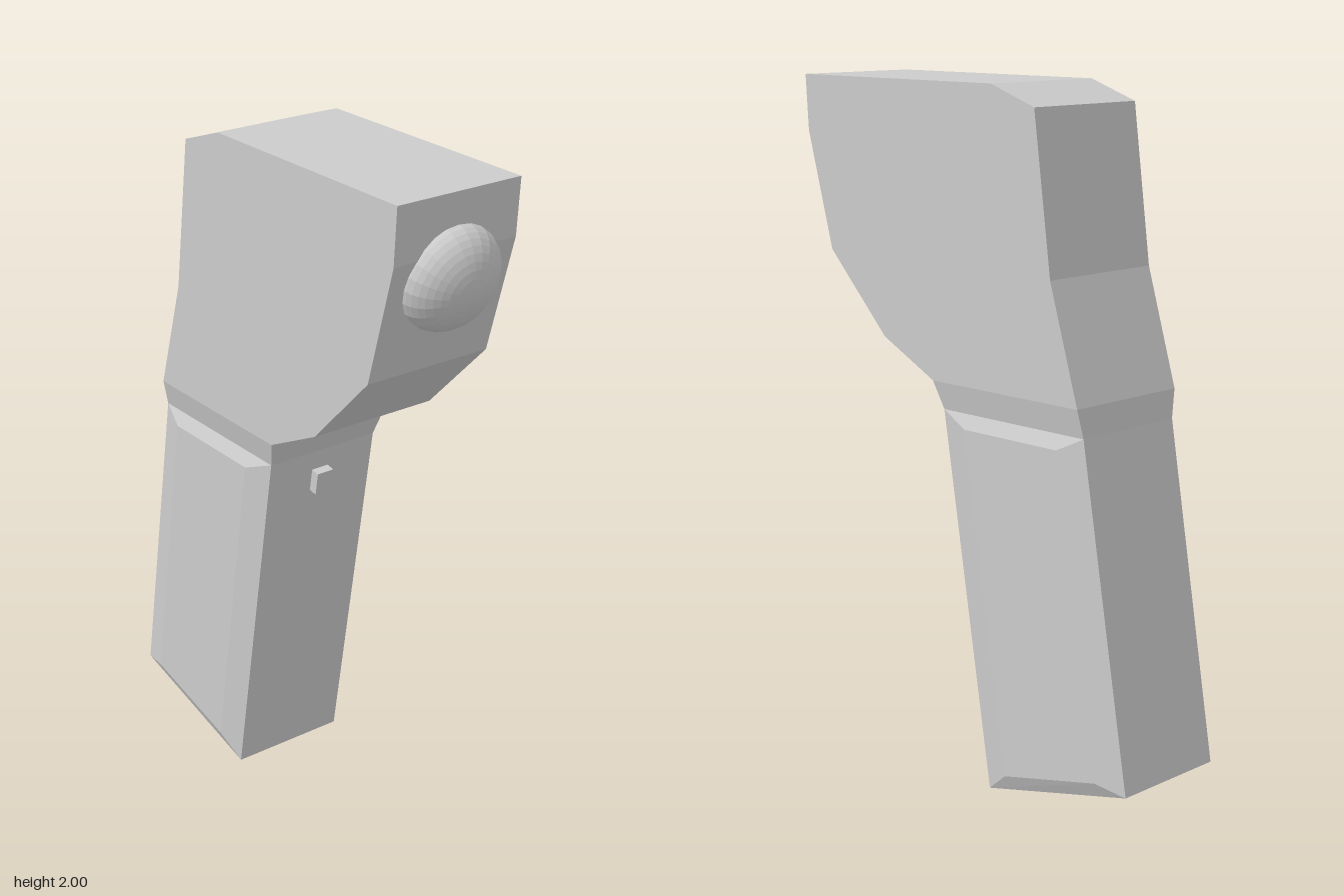
import * as THREE from 'three';

const material = new THREE.MeshStandardMaterial({ color: 0xcccccc, flatShading: true });

// Capped solid through a list of rings, each counterclockwise seen from the last ring's side
function loft(rings) {
  const n = rings[0].length;
  const positions = [];
  const tri = (a, b, c) => positions.push(...a, ...b, ...c);
  for (let i = 0; i < rings.length - 1; i++) {
    for (let k = 0; k < n; k++) {
      const m = (k + 1) % n;
      tri(rings[i][k], rings[i][m], rings[i + 1][m]);
      tri(rings[i][k], rings[i + 1][m], rings[i + 1][k]);
    }
  }
  const first = rings[0], last = rings[rings.length - 1];
  for (let k = 1; k < n - 1; k++) {
    tri(first[0], first[k + 1], first[k]);
    tri(last[0], last[k], last[k + 1]);
  }
  const geometry = new THREE.BufferGeometry();
  geometry.setAttribute('position', new THREE.Float32BufferAttribute(positions, 3));
  geometry.computeVertexNormals();
  return geometry;
}

export function createModel() {
  const group = new THREE.Group();
  const add = (name, geometry) => {
    const mesh = new THREE.Mesh(geometry, material);
    mesh.name = name;
    group.add(mesh);
    return mesh;
  };

  // Head: side profile (z, y) extruded across the width
  const profile = [
    [0.6, 2], [-0.16, 2], [-0.32, 1.945], [-0.38, 1.5], [-0.48, 1.17],
    [0.07, 1.17], [0.27, 1.27], [0.495, 1.5], [0.59, 1.84],
  ].map(([z, y]) => new THREE.Vector2(z, y));
  const head = new THREE.ExtrudeGeometry(new THREE.Shape(profile), { depth: 0.395, bevelEnabled: false });
  head.rotateY(-Math.PI / 2).translate(0.195, 0, 0);
  add('head', head);

  // Neck: short taper from the grip up to the head
  const neckRing = (left, right, y, front, back) =>
    [[left, y, front], [right, y, front], [right, y, back], [left, y, back]];
  add('neck', loft([
    neckRing(-0.18, 0.18, 1.09, 0.04, -0.49),
    neckRing(-0.2, 0.195, 1.17, 0.07, -0.48),
  ]));

  // Grip: slanted block with a raised, bevelled panel on each side
  const edge = [[-0.14, 0.005], [-0.655, 0.13], [-0.49, 1.09], [0.04, 1.09]];
  const panel = [[-0.22, 0.07], [-0.56, 0.15], [-0.41, 1.05], [-0.06, 1.05]];
  const at = (x, outline) => outline.map(([z, y]) => [x, y, z]);
  add('grip', loft([at(-0.2, panel), at(-0.18, edge), at(0.18, edge), at(0.2, panel)]));

  // Dome: flattened hemisphere lying on the sloping front of the head
  const dome = new THREE.SphereGeometry(0.15, 24, 10, 0, Math.PI * 2, 0, Math.PI / 2);
  dome.rotateX(Math.PI / 2).scale(1, 1, 0.67);
  const lens = add('dome', dome);
  lens.position.set(0, 1.766, 0.562);
  lens.rotation.x = 0.23;

  // Trigger: small button on the front of the grip
  const trigger = add('trigger', new THREE.BoxGeometry(0.055, 0.07, 0.06));
  trigger.position.set(-0.003, 0.995, 0.022);
  trigger.rotation.x = 0.16;

  return group;
}
